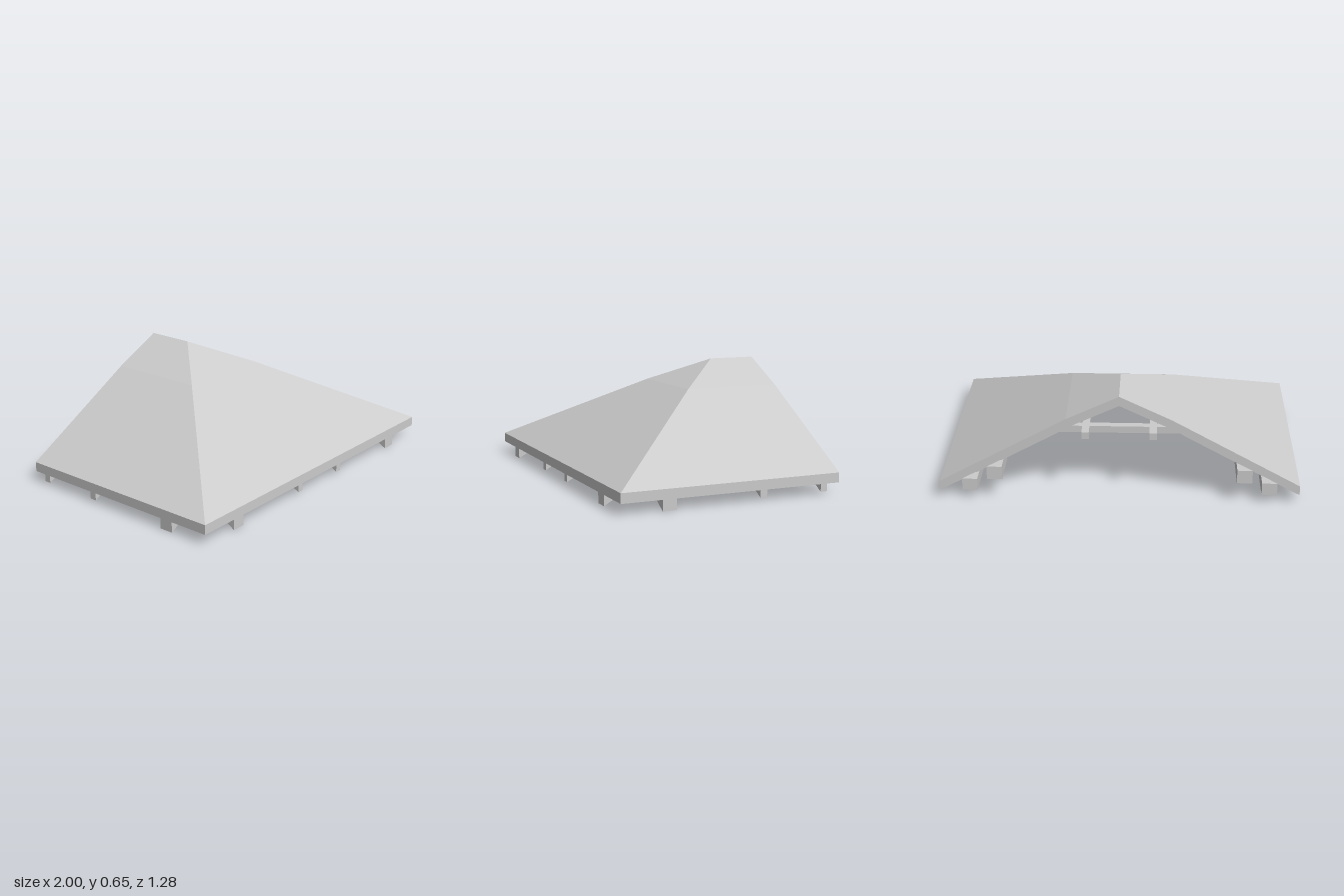
import * as THREE from 'three';

const CENTRE = -0.36; // z of the point where the hips meet
const BACK = -0.64;   // open rear cut

const material = new THREE.MeshStandardMaterial({ color: 0xcccccc, flatShading: true });

// Height of the roof underside at distance d from the centre
const under = (d) => (d > 0.29 ? 0.06 + (1 - d) * 0.563 : 0.46 + (0.29 - d) * 0.483);

function add(group, name, geometry) {
  const mesh = new THREE.Mesh(geometry, material);
  mesh.name = name;
  group.add(mesh);
  return mesh;
}

// Sweeps a counterclockwise (distance, height) profile round the two sides and the front
function sweepU(profile, capFaces) {
  const n = profile.length;
  const stations = [
    (d) => [d, BACK],
    (d) => [d, CENTRE + d],
    (d) => [-d, CENTRE + d],
    (d) => [-d, BACK],
  ];
  const positions = [];
  for (const at of stations) {
    for (const [d, y] of profile) {
      const [x, z] = at(d);
      positions.push(x, y, z);
    }
  }
  const index = [];
  for (let s = 0; s < 3; s++) {
    for (let i = 0; i < n; i++) {
      const j = (i + 1) % n;
      const a = s * n + i, d = s * n + j, b = a + n, c = d + n;
      index.push(a, d, c, a, c, b);
    }
  }
  // Rear end caps
  const last = 3 * n;
  for (const [a, b, c, d] of capFaces) {
    index.push(a, c, b, a, d, c);
    index.push(last + a, last + b, last + c, last + a, last + c, last + d);
  }
  const geometry = new THREE.BufferGeometry();
  geometry.setAttribute('position', new THREE.Float32BufferAttribute(positions, 3));
  geometry.setIndex(index);
  const flat = geometry.toNonIndexed();
  flat.computeVertexNormals();
  return flat;
}

// Sloping timber under the roof, running outward along +z
function rafterGeometry(inner, depth, width) {
  const shape = new THREE.Shape([
    new THREE.Vector2(1, 0.06 - depth),
    new THREE.Vector2(1, 0.06),
    new THREE.Vector2(inner, under(inner)),
    new THREE.Vector2(inner, under(inner) - depth),
  ]);
  const geometry = new THREE.ExtrudeGeometry(shape, { depth: width, bevelEnabled: false });
  geometry.translate(0, 0, -width / 2);
  geometry.rotateY(-Math.PI / 2);
  return geometry;
}

export function createModel() {
  const model = new THREE.Group();
  model.name = 'hippedRoof';

  // Roof shell with a slightly flatter top pitch
  add(model, 'roofShell', sweepU(
    [[1, 0.06], [1, 0.115], [0.29, 0.515], [0, 0.655], [0, 0.6], [0.29, 0.46]],
    [[0, 1, 2, 5], [5, 2, 3, 4]],
  ));

  // Two stepped wall beams following the eaves
  const beam = (inner, outer, low, high) => sweepU(
    [[outer, low], [outer, high], [inner, high], [inner, low]], [[0, 1, 2, 3]]);
  add(model, 'outerBeam', beam(0.79, 0.875, 0.058, 0.13));
  add(model, 'innerBeam', beam(0.65, 0.735, 0.13, 0.21));

  // Rafters on the front and both sides
  const heavy = rafterGeometry(0.73, 0.06, 0.08);
  const slim = rafterGeometry(0.34, 0.042, 0.04);
  for (const [side, angle] of [['front', 0], ['left', Math.PI / 2], ['right', -Math.PI / 2]]) {
    const group = new THREE.Group();
    group.name = side + 'Rafters';
    group.position.z = CENTRE;
    group.rotation.y = angle;
    for (const [offset, geometry, name] of [[0.73, heavy, 'heavyRafter'], [0.185, slim, 'slimRafter']]) {
      for (const x of [-offset, offset]) {
        if (CENTRE - x * Math.sin(angle) < BACK) continue;
        add(group, name, geometry).position.x = x;
      }
    }
    model.add(group);
  }

  // Crossing ties near the top
  const tieY = 0.415, front = CENTRE + 0.36;
  for (const s of [-1, 1]) {
    add(model, 'crossTie', new THREE.BoxGeometry(0.72, 0.04, 0.04))
      .position.set(0, tieY, CENTRE + s * 0.185);
    add(model, 'longTie', new THREE.BoxGeometry(0.04, 0.04, front - BACK))
      .position.set(s * 0.185, tieY, (front + BACK) / 2);
  }
  return model;
}
